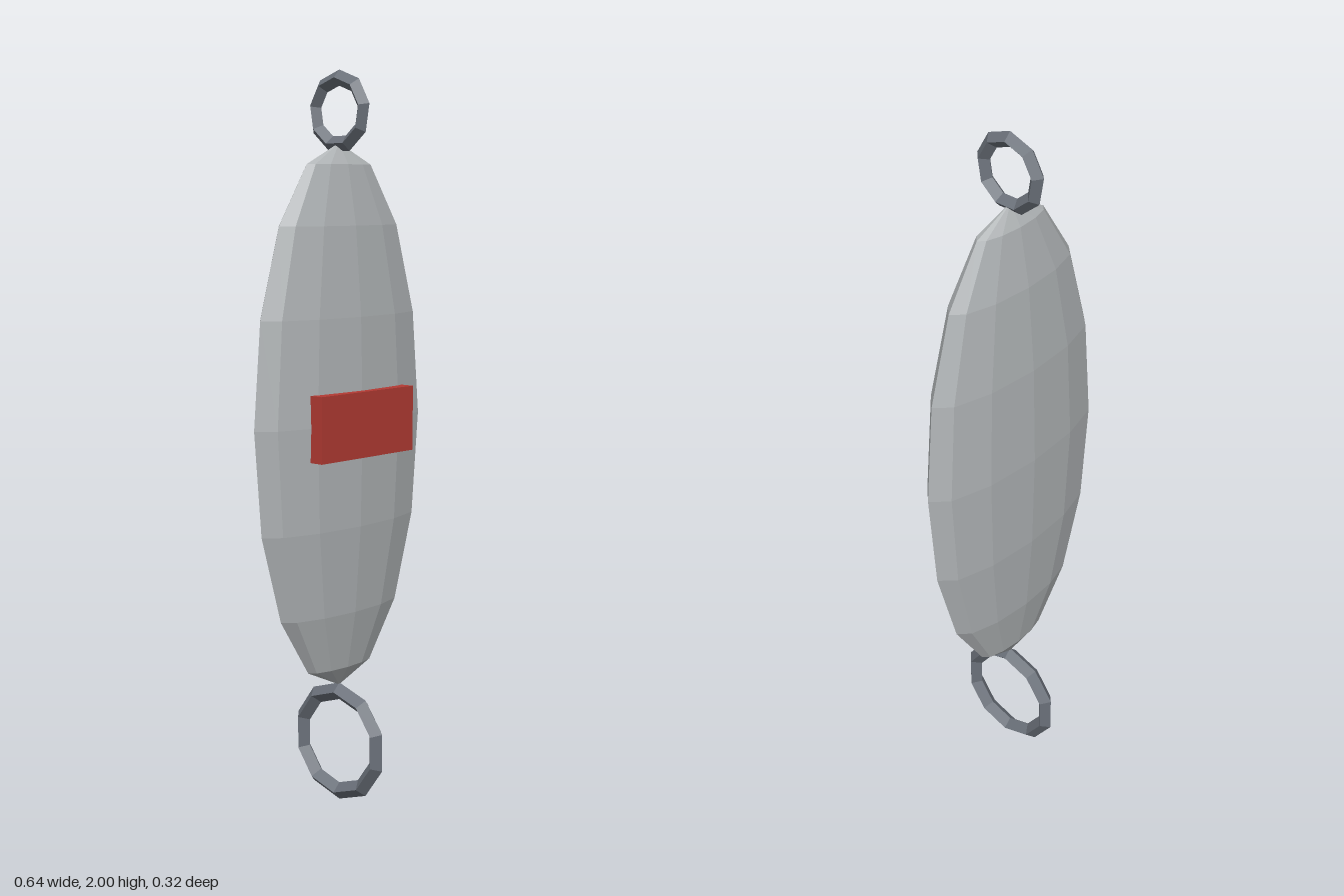
import * as THREE from 'three';

const paint = (name, color) => {
  const m = new THREE.MeshStandardMaterial({ color, flatShading: true });
  m.name = name;
  return m;
};

export function createModel() {
  const silver = paint('silver grey', 0xb0b4b6);
  const steel = paint('dark steel', 0x6a7079);
  const red = paint('red', 0xb23a33);
  const group = new THREE.Group();
  group.name = 'pendantLure';

  const add = (name, geometry, material, x, y, z) => {
    const mesh = new THREE.Mesh(geometry, material);
    mesh.name = name;
    mesh.position.set(x, y, z);
    group.add(mesh);
  };

  // Flattened oval body
  add('body', new THREE.SphereGeometry(1, 12, 8).scale(0.32, 0.74, 0.087), silver, 0, 1.07, -0.001);

  // Upright rings with a diamond section, one corner pointing up
  const ring = (name, radius, tube, sides, y) => {
    const geometry = new THREE.TorusGeometry(radius, tube, 4, sides)
      .rotateZ(Math.PI / 2)
      .rotateY(Math.PI / 2);
    add(name, geometry, steel, 0, y, 0);
  };
  ring('topRing', 0.088, 0.021, 9, 1.891);
  ring('bottomRing', 0.144, 0.024, 10, 0.168);

  // Raised red plate on the front, sunk into the body
  add('frontPlate', new THREE.BoxGeometry(0.36, 0.177, 0.047), red, 0, 1.068, 0.0835);

  return group;
}
